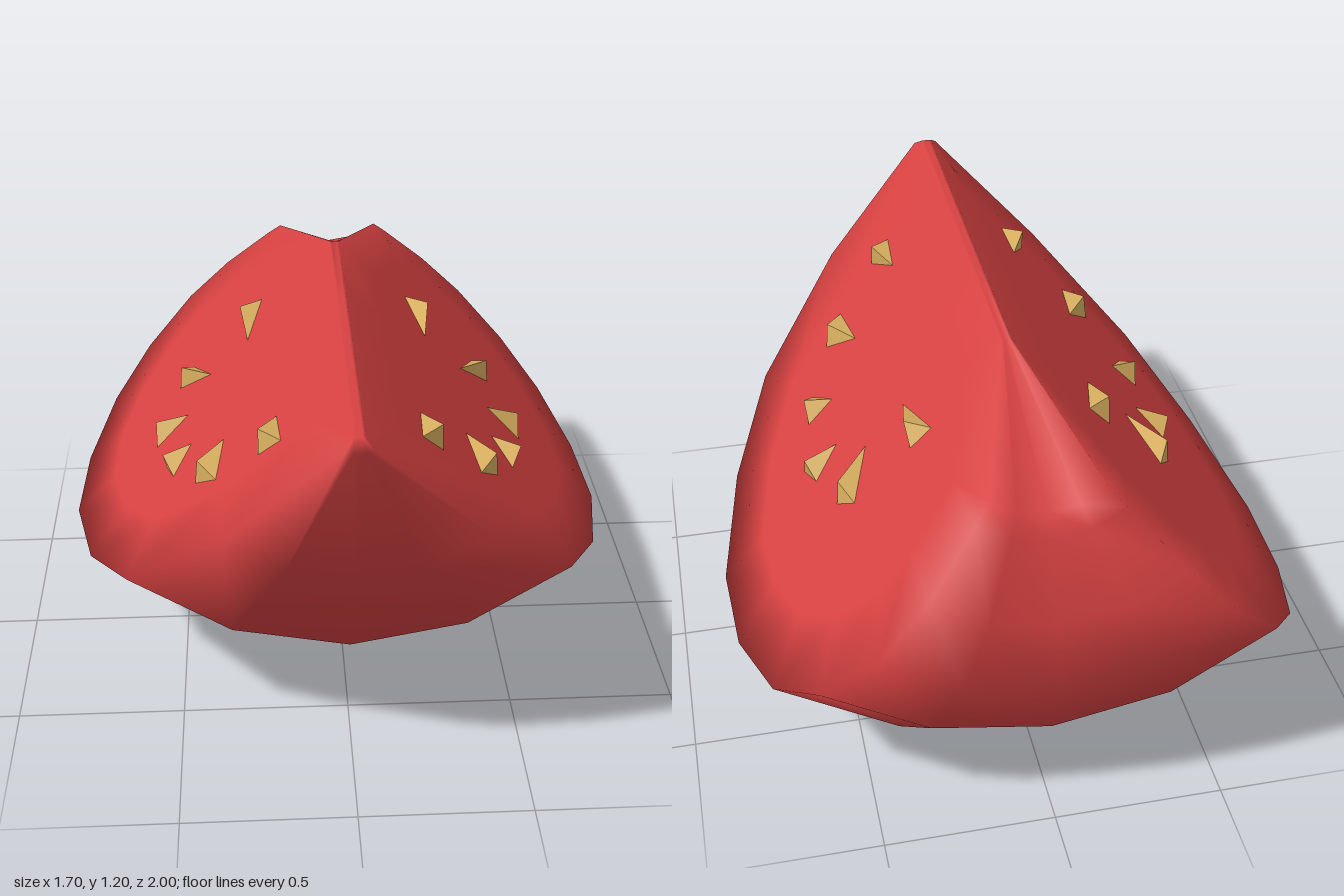
import * as THREE from 'three';
import { ConvexGeometry } from 'three/addons/geometries/ConvexGeometry.js';

const HALF = THREE.MathUtils.degToRad(44); // half of the wedge angle
const TOP = 1.2; // height of the core edge
const EDGE = 0.015; // half width of the blunt core edge
const STEPS = 4; // slices across the skin

// Closed outline of a slice as [z, distance from core]: skin, stem dimple, core edge
const OUTLINE = [
  [1.0, 0.03], [0.88, 0.49], [0.61, 0.89], [0.26, 1.09], [-0.14, 1.2], [-0.46, 1.18],
  [-0.75, 1.07], [-0.925, 0.9], [-1.0, 0.68], [-0.965, 0.48], [-0.86, 0.27], [-0.82, 0.21],
  [-0.3, 0], [0.1, 0], [0.55, 0], [0.97, 0],
];

// Seeds on the cut face as [z, y]: two base corners, then the tip
const SEEDS = [
  [[0.65, 1.02], [0.61, 0.95], [0.48, 1.01]],
  [[0.53, 0.83], [0.43, 0.76], [0.32, 0.855]],
  [[0.27, 0.69], [0.15, 0.66], [0.16, 0.75]],
  [[-0.03, 0.62], [-0.13, 0.65], [-0.05, 0.735]],
  [[-0.30, 0.69], [-0.37, 0.74], [-0.17, 0.81]],
  [[-0.37, 0.98], [-0.37, 0.91], [-0.15, 0.925]],
];

function slicePoint([z, r], angle) {
  const x = r * Math.sin(angle) + EDGE * Math.sin(angle) / Math.sin(HALF);
  return [x, TOP - r * Math.cos(angle), z];
}

function wedgeGeometry() {
  const n = OUTLINE.length;
  const positions = [];
  const index = [];
  const add = (p) => positions.push(...p) / 3 - 1;
  const quad = (a, b, c, d) => index.push(a, b, c, a, c, d);

  // Skin, dimple and core edge swept around the core
  for (let j = 0; j <= STEPS; j++) {
    const angle = HALF * (2 * j / STEPS - 1);
    OUTLINE.forEach((p) => add(slicePoint(p, angle)));
  }
  for (let j = 0; j < STEPS; j++) {
    for (let i = 0; i < n; i++) {
      const k = (i + 1) % n;
      quad(j * n + i, j * n + k, (j + 1) * n + k, (j + 1) * n + i);
    }
  }

  // Cut faces with an inset ring, so the rim shades softly
  const middle = [-0.12, 0.52];
  for (const side of [-1, 1]) {
    const rim = side > 0 ? STEPS * n : 0;
    const ring = positions.length / 3;
    OUTLINE.forEach((p) => {
      const inset = p.map((v, c) => v + (middle[c] - v) * 0.27);
      add(slicePoint(inset, side * HALF));
    });
    const centre = add(slicePoint(middle, side * HALF));
    for (let i = 0; i < n; i++) {
      const k = (i + 1) % n;
      const [a, b] = side > 0 ? [i, k] : [k, i];
      quad(rim + a, rim + b, ring + b, ring + a);
      index.push(ring + a, ring + b, centre);
    }
  }

  const geometry = new THREE.BufferGeometry();
  geometry.setAttribute('position', new THREE.Float32BufferAttribute(positions, 3));
  geometry.setIndex(index);
  geometry.computeVertexNormals();
  return geometry;
}

// Small three-sided pyramid sitting on one cut face
function seedGeometry(corners, side) {
  const onFace = ([z, y], lift) => new THREE.Vector3(
    side * (EDGE + (TOP - y) * Math.tan(HALF) + lift * Math.cos(HALF)),
    y + lift * Math.sin(HALF), z);
  const [a, b, tip] = corners;
  const peak = [0, 1].map((c) => a[c] * 0.38 + b[c] * 0.38 + tip[c] * 0.24);
  return new ConvexGeometry([...corners.map((p) => onFace(p, -0.005)), onFace(peak, 0.05)]);
}

export function createModel() {
  const model = new THREE.Group();
  model.name = 'tomatoWedge';
  const flesh = new THREE.MeshStandardMaterial({ color: 0xd64141 });
  flesh.name = 'tomatoRed';
  const seedColor = new THREE.MeshStandardMaterial({ color: 0xd9b060 });
  seedColor.name = 'seedYellow';

  const wedge = new THREE.Mesh(wedgeGeometry(), flesh);
  wedge.name = 'wedge';
  model.add(wedge);

  for (const side of [-1, 1]) {
    const seeds = new THREE.Group();
    seeds.name = side > 0 ? 'leftSeeds' : 'rightSeeds';
    SEEDS.forEach((corners, i) => {
      const seed = new THREE.Mesh(seedGeometry(corners, side), seedColor);
      seed.name = `seed${i + 1}`;
      seeds.add(seed);
    });
    model.add(seeds);
  }
  return model;
}
